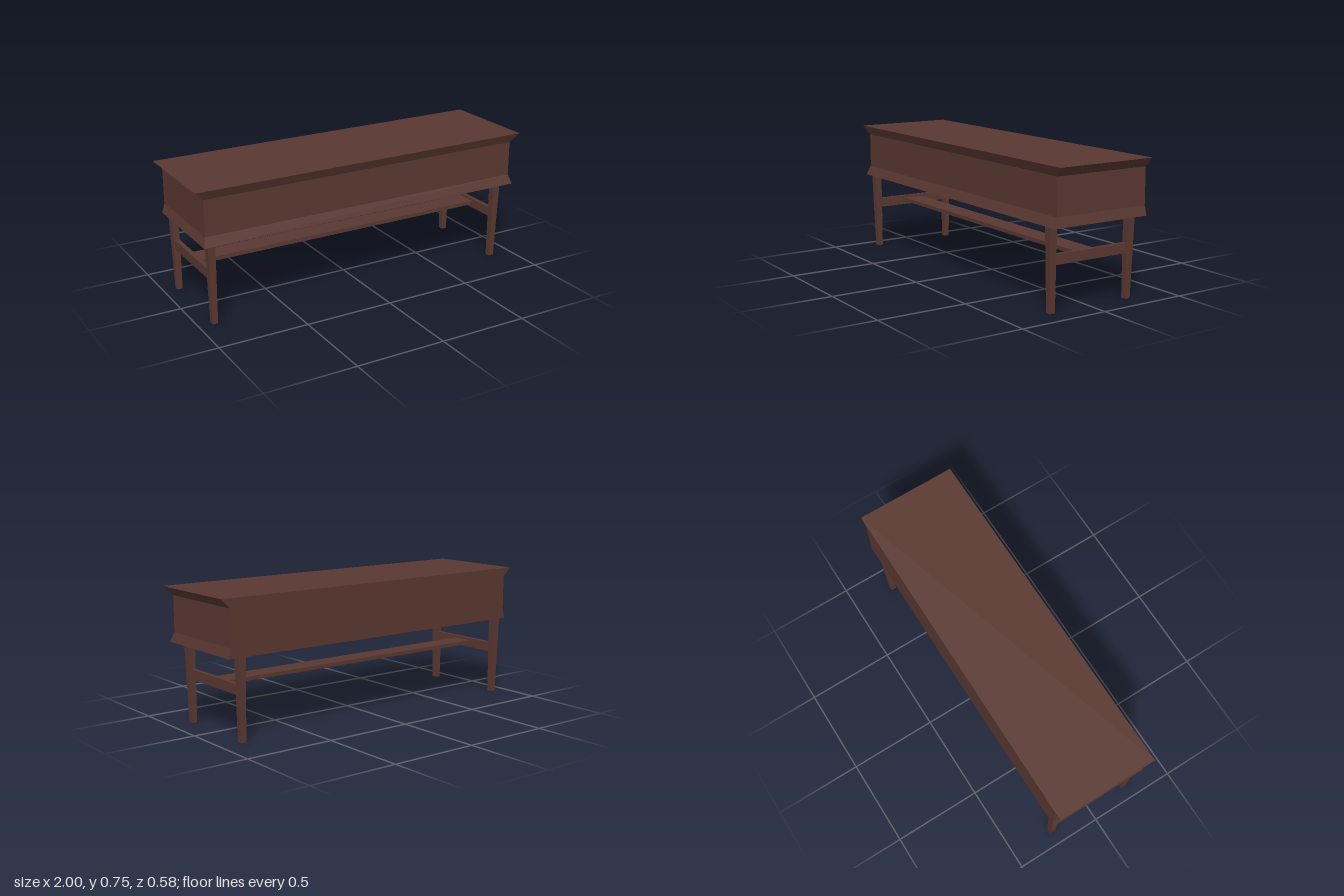
import * as THREE from 'three';

// Solid lofted through rectangles [y, x0, x1, z0, z1], listed bottom to top
function loft(sections) {
  const pos = [];
  const rings = sections.map(([y, x0, x1, z0, z1]) =>
    [[x0, y, z1], [x1, y, z1], [x1, y, z0], [x0, y, z0]]);
  const quad = (a, b, c, d) => pos.push(...a, ...b, ...c, ...a, ...c, ...d);
  for (let i = 0; i < rings.length - 1; i++) {
    for (let k = 0; k < 4; k++) {
      const n = (k + 1) % 4;
      quad(rings[i][k], rings[i][n], rings[i + 1][n], rings[i + 1][k]);
    }
  }
  const low = rings[0], top = rings[rings.length - 1];
  quad(low[3], low[2], low[1], low[0]);
  quad(top[0], top[1], top[2], top[3]);
  const geo = new THREE.BufferGeometry();
  geo.setAttribute('position', new THREE.Float32BufferAttribute(pos, 3));
  geo.computeVertexNormals();
  return geo;
}

export function createModel() {
  const group = new THREE.Group();
  const wood = new THREE.MeshStandardMaterial({ color: 0x5a3831, flatShading: true });
  wood.name = 'dark wood';

  const add = (name, sections) => {
    const mesh = new THREE.Mesh(loft(sections), wood);
    mesh.name = name;
    group.add(mesh);
  };

  // Cabinet: flared at foot and top, flat at the back
  const back = -0.288;
  add('cabinet', [
    [0.445, -0.965, 0.965, back, 0.289],
    [0.497, -0.95, 0.95, back, 0.267],
    [0.695, -0.95, 0.95, back, 0.267],
    [0.745, -1, 1, back, 0.289],
  ]);

  // Legs: straight inner faces, outer faces tapering to the floor
  const innerX = { right: -0.896, left: 0.853 };
  const innerZ = { front: 0.223, back: -0.231 };
  const span = (inner, width) =>
    inner > 0 ? [inner, inner + width] : [inner - width, inner];
  for (const side of ['right', 'left']) {
    for (const end of ['front', 'back']) {
      const section = (y, w) => [y, ...span(innerX[side], w), ...span(innerZ[end], w)];
      add(`${end} ${side} leg`, [section(0, 0.031), section(0.446, 0.042)]);
    }
    // Side rail between the front and back legs
    const [x0, x1] = span(innerX[side], 0.031);
    const rail = (y) => [y, x0 + 0.003, x1 - 0.003, innerZ.back, innerZ.front];
    add(`${side} rail`, [rail(0.242), rail(0.296)]);
  }

  // Flat stretcher joining the two rails
  const plank = (y) => [y, innerX.right - 0.01, innerX.left + 0.01, -0.064, 0.056];
  add('stretcher', [plank(0.261), plank(0.282)]);

  return group;
}
